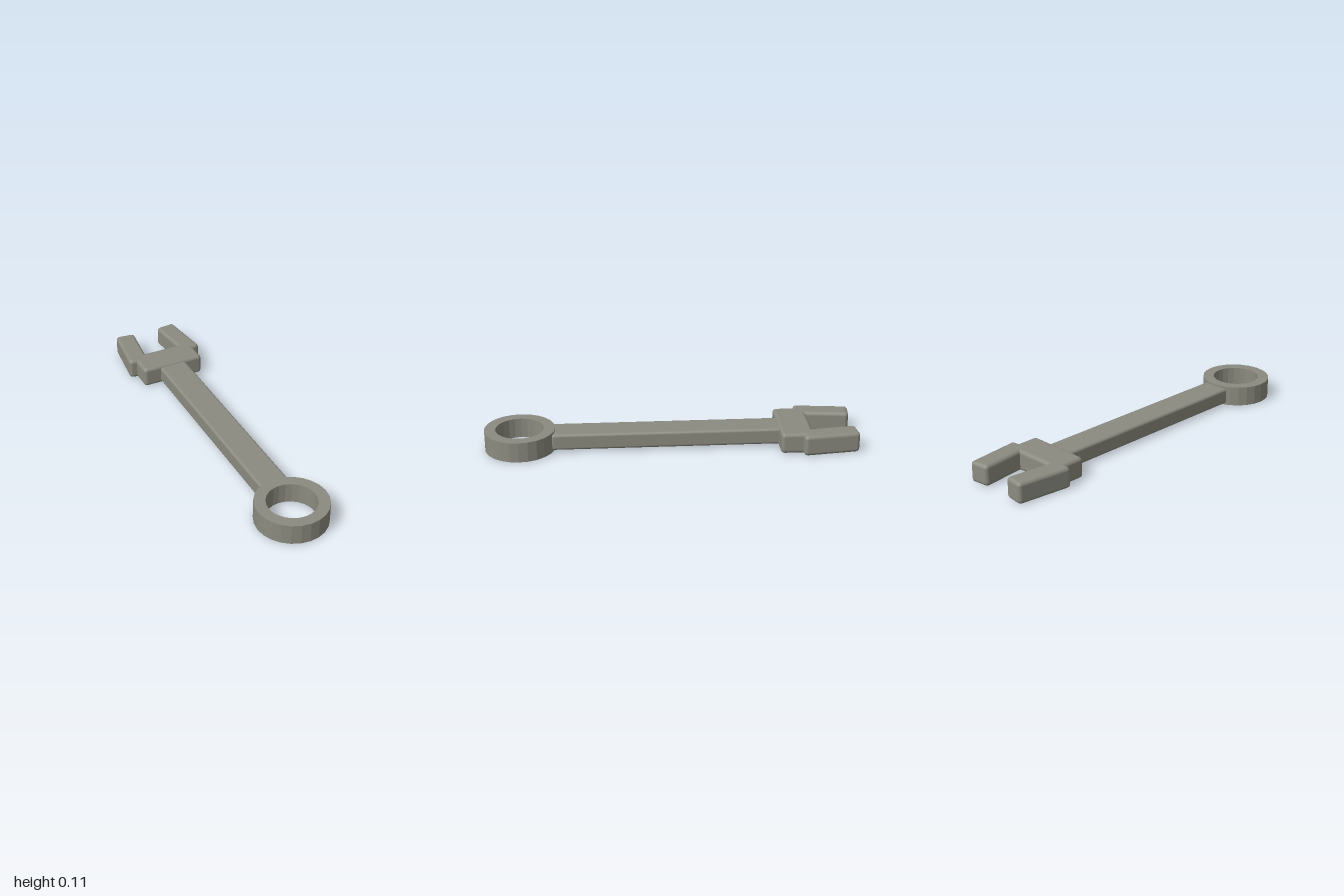
import * as THREE from 'three';
import { RoundedBoxGeometry } from 'three/addons/geometries/RoundedBoxGeometry.js';

const MID_Y = 0.057;

export function createModel() {
  const group = new THREE.Group();
  group.name = 'wrench';
  const steel = new THREE.MeshStandardMaterial({ color: 0x8b8b80 });
  const facetedSteel = steel.clone();
  facetedSteel.flatShading = true;

  const add = (name, geometry, material, x, z, turn = 0) => {
    const mesh = new THREE.Mesh(geometry, material);
    mesh.name = name;
    mesh.position.set(x, MID_Y, z);
    mesh.rotation.y = turn;
    group.add(mesh);
  };
  const bar = (w, h, d, r) => new RoundedBoxGeometry(w, h, d, 2, r);

  // Closed ring with faceted walls and flat faces
  const outer = 0.19, inner = 0.13, half = 0.055;
  const profile = [
    [inner, -half], [outer, -half], [outer, half], [inner, half], [inner, -half],
  ].map(([r, y]) => new THREE.Vector2(r, y));
  add('ring', new THREE.LatheGeometry(profile, 24), facetedSteel, 0, 0.81);

  // Handle joining the ring to the jaw block
  add('handle', bar(0.16, 0.09, 1.25, 0.015), steel, 0, 0.015);

  // Open jaw: block with two prongs leaning inwards
  add('jawBlock', bar(0.36, 0.114, 0.175, 0.02), steel, 0, -0.668);
  for (const [side, name] of [[1, 'leftProng'], [-1, 'rightProng']]) {
    add(name, bar(0.112, 0.114, 0.305, 0.02), steel, side * 0.148, -0.846, side * 0.12);
  }
  return group;
}
